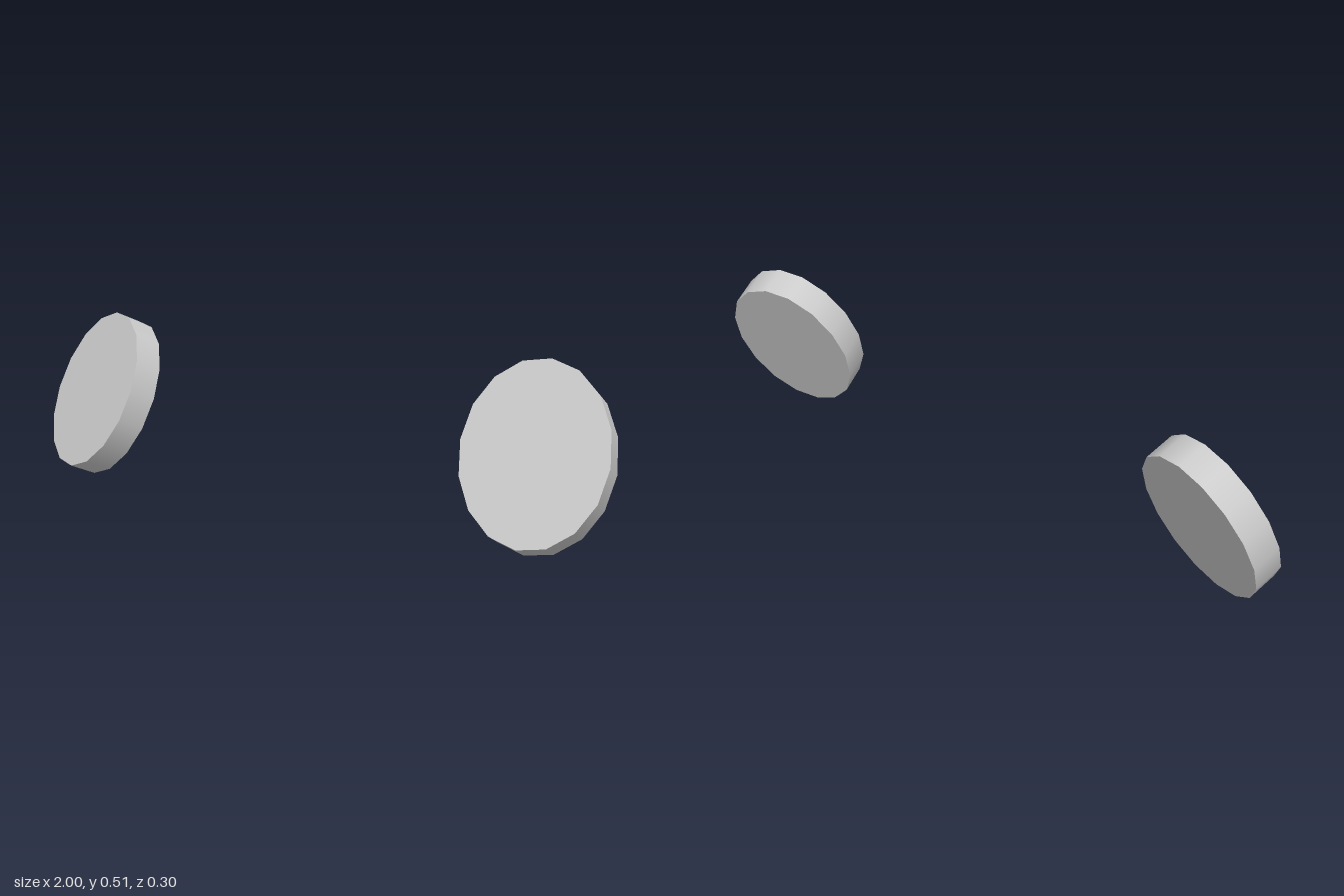
import * as THREE from 'three';

// One tilted oval disc; side is +1 for the model's left, -1 for its right
function makeDisc(side, material) {
  const across = new THREE.Vector3(0.2, -0.02 * side, -0.04 * side);
  const down = new THREE.Vector3(0.01 * side, -0.237, 0.102);
  const axis = new THREE.Vector3().crossVectors(down, across).normalize().multiplyScalar(0.092);

  // Unit 16-sided cylinder stretched and tilted into place
  const geometry = new THREE.CylinderGeometry(1, 1, 1, 16);
  geometry.applyMatrix4(new THREE.Matrix4().makeBasis(across, axis, down));

  const disc = new THREE.Mesh(geometry, material);
  disc.name = side > 0 ? 'leftDisc' : 'rightDisc';
  disc.position.set(0.79 * side, 0.257, 0);
  return disc;
}

export function createModel() {
  const group = new THREE.Group();
  group.name = 'discPair';
  const material = new THREE.MeshStandardMaterial({ color: 0xcccccc });
  for (const side of [1, -1]) group.add(makeDisc(side, material));
  return group;
}
